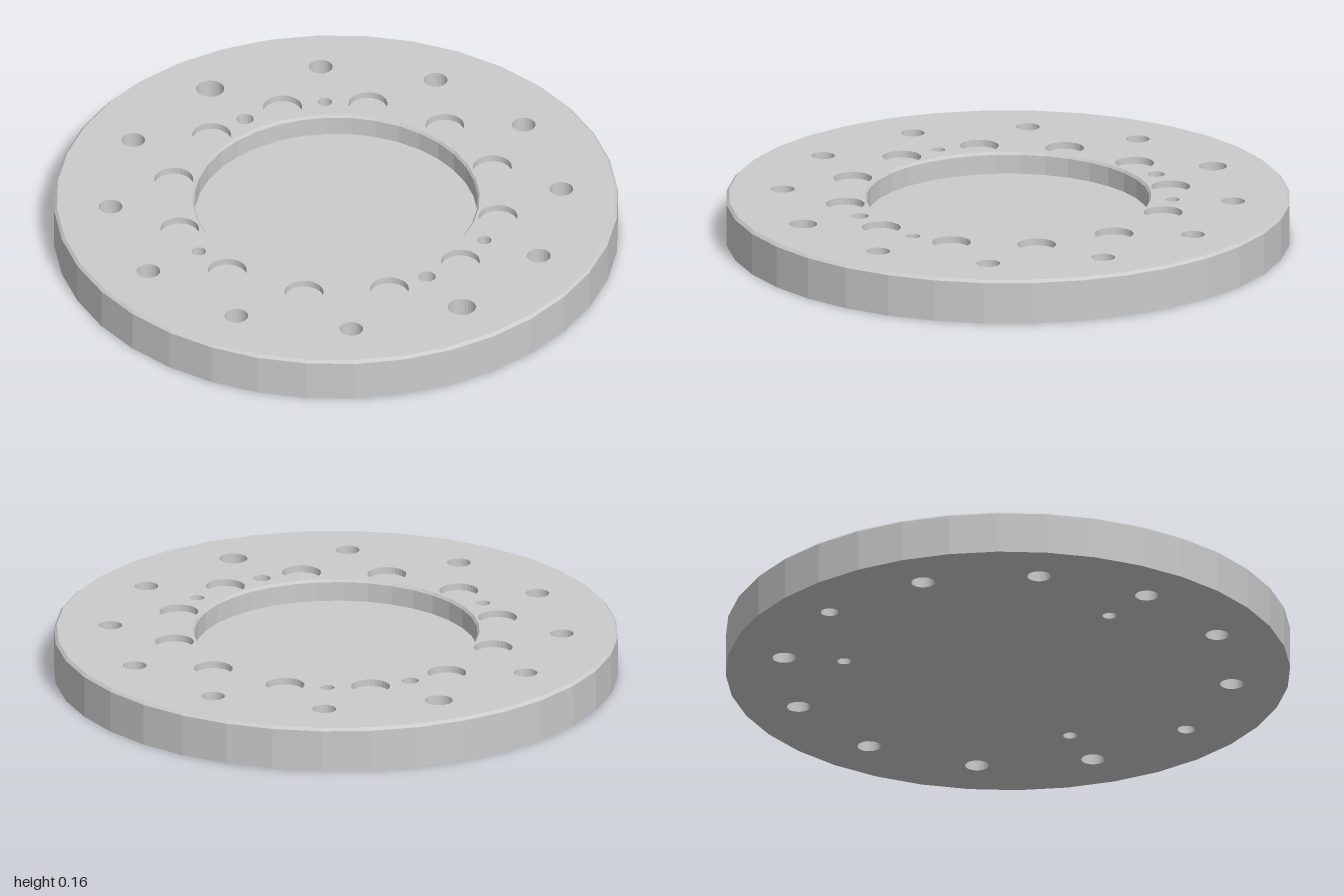
import * as THREE from 'three';

const TOP = 0.16;
const RIM = 36;

// Polygon ring matching the vertices of a lathe; sign flips z for top faces.
function ring(r, seg, x = 0, z = 0, sign = 1) {
  const pts = [];
  for (let i = 0; i < seg; i++) {
    const a = (i / seg) * Math.PI * 2;
    pts.push(new THREE.Vector2(x + r * Math.sin(a), sign * (z + r * Math.cos(a))));
  }
  return pts;
}

export function createModel() {
  const group = new THREE.Group();
  const material = new THREE.MeshStandardMaterial({ color: 0xcccccc, flatShading: true });

  function add(name, geometry, x = 0, y = 0, z = 0) {
    const mesh = new THREE.Mesh(geometry, material);
    mesh.name = name;
    mesh.position.set(x, y, z);
    group.add(mesh);
  }
  function lathe(profile, seg) {
    return new THREE.LatheGeometry(profile.map(([r, y]) => new THREE.Vector2(r, y)), seg);
  }

  const topHoles = [];
  const bottomHoles = [];

  // Each bore is a profile running from the top face downwards.
  function bore(name, radius, degrees, profile, seg) {
    const a = THREE.MathUtils.degToRad(degrees);
    const x = radius * Math.cos(a);
    const z = radius * Math.sin(a);
    const [endR, endY] = profile[profile.length - 1];
    add(name, lathe(profile, seg), x, 0, z);
    topHoles.push(ring(profile[0][0], seg, x, z, -1));
    if (endY === 0) bottomHoles.push(ring(endR, seg, x, z));
  }

  // Bolt circle: plain through holes, with two stepped holes on the z axis
  for (let i = 0; i < 12; i++) {
    if (i % 6 === 3) {
      bore('steppedBoltHole', 0.8, i * 30, [[0.05, TOP], [0.05, 0.08], [0.032, 0.065], [0.032, 0]], 24);
    } else {
      bore('boltHole', 0.8, i * 30, [[0.042, TOP], [0.042, 0]], 24);
    }
  }

  // Shallow round pockets around the recess
  for (let i = 0; i < 12; i++) {
    bore('pocket', 0.585, 15 + i * 30, [[0.069, TOP], [0.069, 0.135], [0, 0.135]], 28);
  }

  // Three through pin holes and two blind ones
  for (const d of [60, 180, 300]) bore('pinHole', 0.585, d, [[0.025, TOP], [0.025, 0]], 20);
  for (const d of [90, 270]) bore('blindHole', 0.578, d, [[0.031, TOP], [0.031, 0.08], [0, 0.08]], 20);

  // Outer wall with a chamfered top edge
  add('outerWall', lathe([[1, 0], [1, TOP - 0.01], [0.99, TOP]], RIM));

  // Central recess: chamfer, wall and floor
  add('centralRecess', lathe([[0.509, TOP], [0.502, TOP - 0.01], [0.502, 0.08], [0, 0.08]], RIM));
  topHoles.push(ring(0.509, RIM, 0, 0, -1));

  // Flat faces
  function face(name, outline, holes, rotation, y) {
    const shape = new THREE.Shape(outline);
    shape.holes = holes.map((pts) => new THREE.Path(pts));
    add(name, new THREE.ShapeGeometry(shape).rotateX(rotation), 0, y, 0);
  }
  face('topFace', ring(0.99, RIM, 0, 0, -1), topHoles, -Math.PI / 2, TOP);
  face('bottomFace', ring(1, RIM), bottomHoles, Math.PI / 2, 0);

  return group;
}
